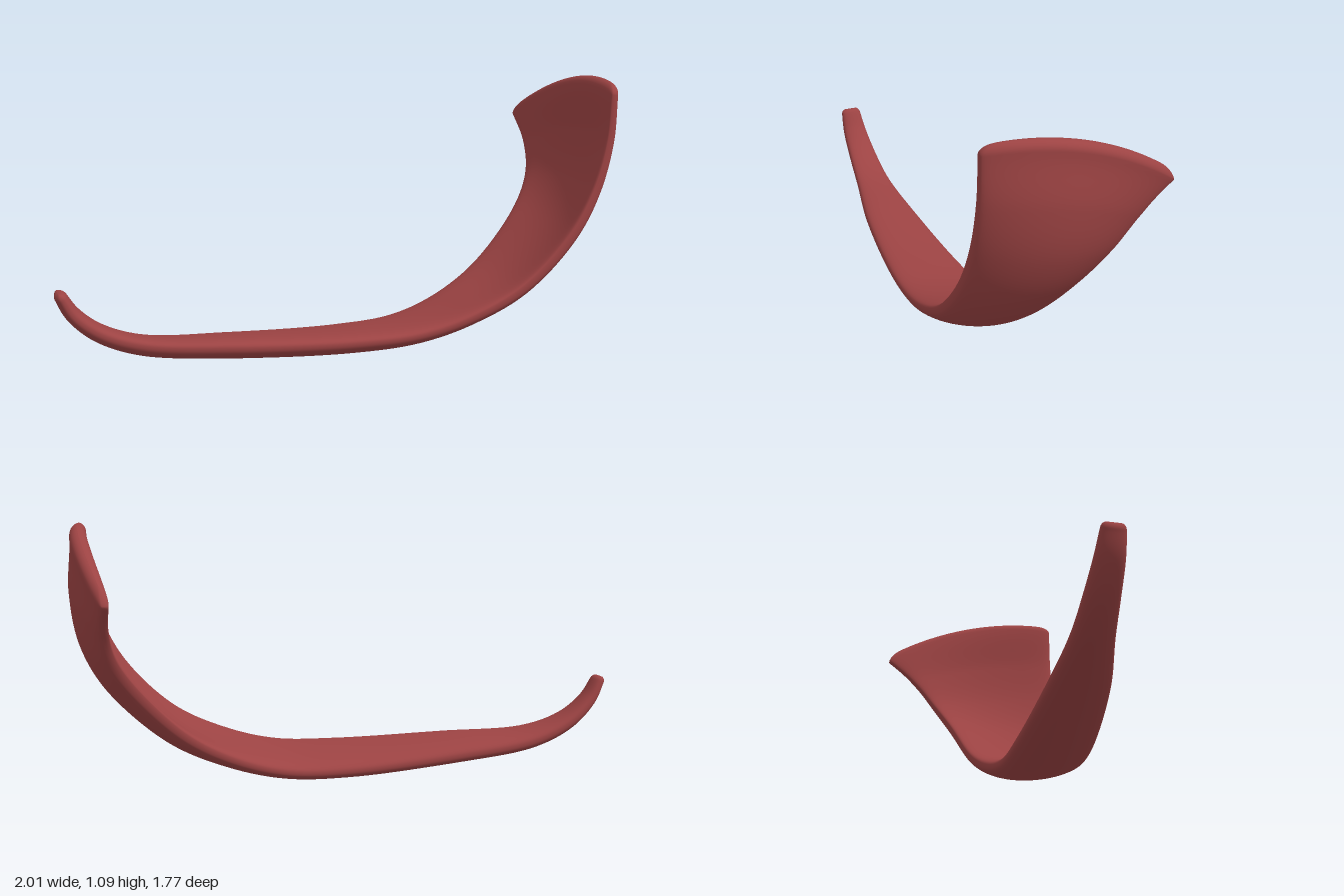
import * as THREE from 'three';

// Plan axes: the horn runs along ALONG, its width lies along ACROSS.
const ALONG = new THREE.Vector3(0.78, 0, -0.62).normalize();
const ACROSS = new THREE.Vector3(0.62, 0, 0.78).normalize();

// Each station: right rim [along, height, across], left rim, [sag, wall, end bow]
const STATIONS = [
  [[-1.25, 0.39, 0.008], [-1.25, 0.39, 0.1], [0.0, 0.05, 0]],
  [[-1.205, 0.32, -0.002], [-1.205, 0.32, 0.108], [0.0, 0.062, 0]],
  [[-1.11, 0.238, -0.012], [-1.11, 0.248, 0.12], [0.005, 0.072, 0]],
  [[-0.95, 0.17, -0.014], [-0.95, 0.195, 0.15], [0.008, 0.082, 0]],
  [[-0.6, 0.13, -0.014], [-0.6, 0.175, 0.238], [0.008, 0.1, 0]],
  [[-0.13, 0.096, -0.018], [-0.13, 0.155, 0.318], [0.01, 0.106, 0]],
  [[0.14, 0.103, -0.02], [0.14, 0.162, 0.35], [0.012, 0.104, 0]],
  [[0.355, 0.162, -0.036], [0.35, 0.215, 0.375], [0.022, 0.1, 0]],
  [[0.56, 0.272, -0.068], [0.56, 0.315, 0.393], [0.042, 0.095, 0]],
  [[0.77, 0.475, -0.12], [0.757, 0.505, 0.402], [0.058, 0.09, 0.01]],
  [[0.857, 0.6, -0.185], [0.855, 0.68, 0.402], [0.058, 0.086, 0.03]],
  [[0.89, 0.712, -0.272], [0.908, 0.87, 0.402], [0.05, 0.08, 0.06]],
  [[0.9, 0.815, -0.395], [0.922, 1.055, 0.402], [0.04, 0.072, 0.088]],
];

const LOOP = 64;
const STEPS = 110;
const CAP = 8;

const curveOf = (k) => new THREE.CatmullRomCurve3(STATIONS.map((s) => new THREE.Vector3(...s[k])));

// Thick rounded blade, opening into a shallow trough, lofted between the two rim curves
function hornGeometry() {
  const [right, left, shape] = [0, 1, 2].map(curveOf);
  const rings = [];
  for (let i = CAP; i > 0; i--) rings.push([0, -i / CAP]);
  for (let i = 0; i <= STEPS; i++) rings.push([i / STEPS, 0]);
  for (let i = 1; i <= CAP; i++) rings.push([1, i / CAP]);

  const positions = [];
  const index = [];
  for (const [t, cap] of rings) {
    const a = right.getPoint(t);
    const b = left.getPoint(t);
    const { x: sag, y: wall, z: bow } = shape.getPoint(t);
    const tangent = right.getTangent(t).add(left.getTangent(t)).setZ(0).normalize();
    const outward = new THREE.Vector3(tangent.y, -tangent.x, 0);
    // End caps: the section thins and narrows while moving outward
    const round = Math.cos((cap * Math.PI) / 2);
    const push = (Math.sin((cap * Math.PI) / 2) * wall) / 2;
    const inset = 1 - (0.12 + (wall * 0.6) / a.distanceTo(b)) * (1 - round);
    // The section goes from a lens to an even wall with blunt rims
    const bluntness = 0.85 - 0.35 * THREE.MathUtils.smoothstep(t, 0.45, 0.8);
    for (let j = 0; j < LOOP; j++) {
      const angle = (j / LOOP) * Math.PI * 2;
      const u = Math.cos(angle) * inset;
      const s = Math.sin(angle);
      const v = Math.sign(s) * Math.pow(Math.abs(s), bluntness);
      const arch = 1 - u * u;
      const p = a.clone().lerp(b, (u + 1) / 2)
        .addScaledVector(outward, sag * arch + (wall / 2) * (1 + v * round))
        .addScaledVector(tangent, bow * arch + push);
      const q = ALONG.clone().multiplyScalar(p.x).addScaledVector(ACROSS, p.z);
      positions.push(q.x, p.y, q.z);
    }
  }
  for (let i = 0; i < rings.length - 1; i++) {
    for (let j = 0; j < LOOP; j++) {
      const k = (j + 1) % LOOP;
      const [p, q, r, s] = [i * LOOP + j, i * LOOP + k, (i + 1) * LOOP + j, (i + 1) * LOOP + k];
      index.push(p, q, r, q, s, r);
    }
  }
  const geometry = new THREE.BufferGeometry();
  geometry.setAttribute('position', new THREE.Float32BufferAttribute(positions, 3));
  geometry.setIndex(index);
  geometry.computeVertexNormals();
  return geometry;
}

export function createModel() {
  const group = new THREE.Group();
  const horn = new THREE.Mesh(hornGeometry(), new THREE.MeshStandardMaterial({ color: 0x9c4343 }));
  horn.name = 'curvedHorn';
  group.add(horn);
  return group;
}
